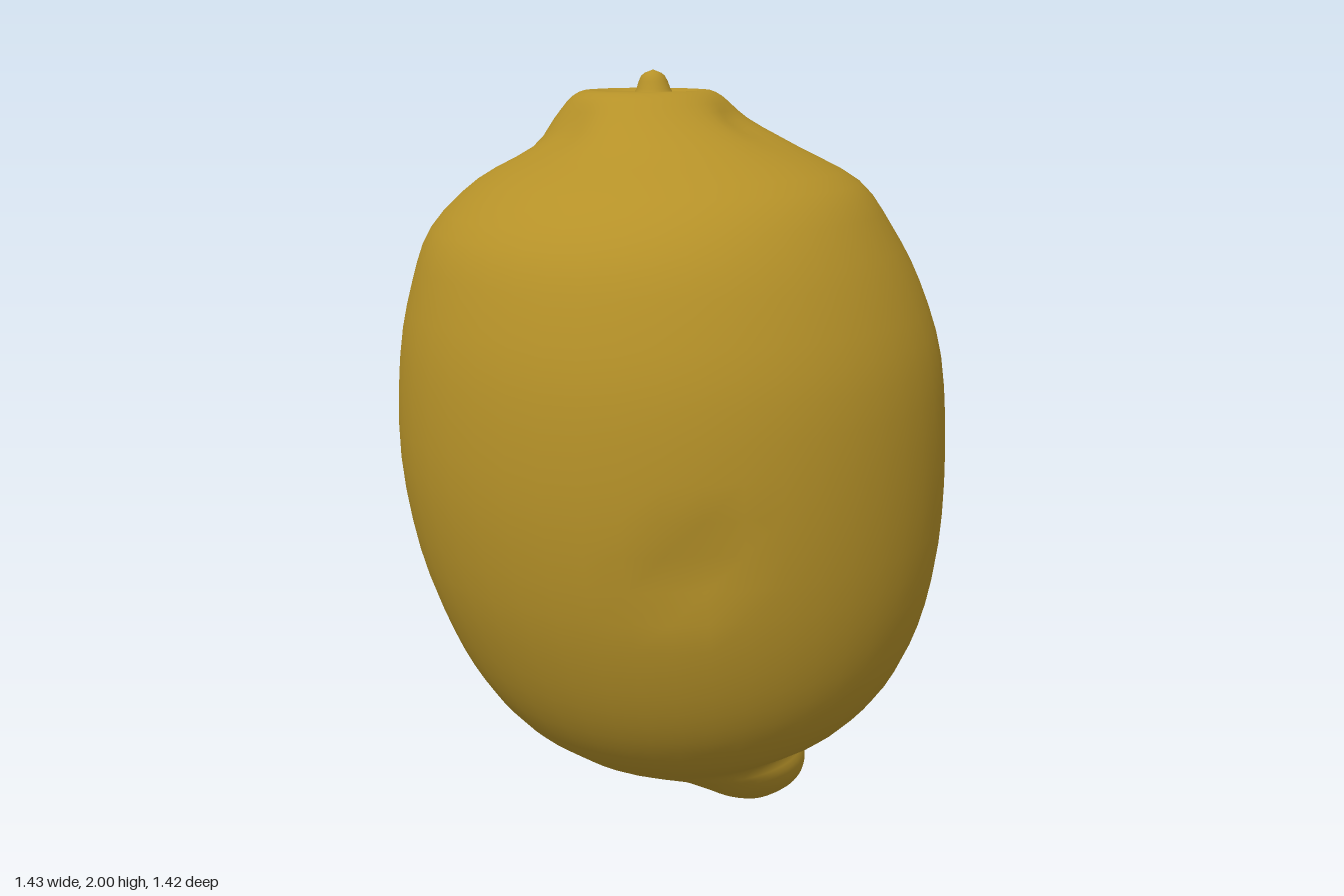
import * as THREE from 'three';

// Cross-sections from the tip up: y, xMin, xMax, zMin, zMax
const SECTIONS = [
  [0.005, 0.18, 0.18, 0.14, 0.14],
  [0.02, 0.13, 0.24, 0.10, 0.18],
  [0.06, 0.05, 0.305, 0.06, 0.235],
  [0.11, -0.03, 0.325, 0.0, 0.28],
  [0.16, -0.13, 0.34, -0.11, 0.305],
  [0.21, -0.28, 0.36, -0.27, 0.32],
  [0.27, -0.37, 0.42, -0.37, 0.41],
  [0.34, -0.455, 0.495, -0.455, 0.505],
  [0.45, -0.54, 0.585, -0.55, 0.595],
  [0.60, -0.615, 0.655, -0.62, 0.66],
  [0.80, -0.68, 0.70, -0.675, 0.70],
  [1.05, -0.715, 0.71, -0.705, 0.71],
  [1.30, -0.705, 0.69, -0.695, 0.69],
  [1.48, -0.665, 0.635, -0.655, 0.635],
  [1.62, -0.605, 0.56, -0.605, 0.565],
  [1.73, -0.48, 0.48, -0.525, 0.47],
  [1.81, -0.33, 0.34, -0.39, 0.31],
  [1.88, -0.26, 0.235, -0.33, 0.17],
  [1.935, -0.205, 0.18, -0.285, 0.09],
  [1.95, -0.15, 0.14, -0.25, 0.04],
  [1.93, -0.085, 0.085, -0.18, 0.0],
  [1.94, -0.05, 0.05, -0.14, -0.035],
  [1.985, -0.03, 0.03, -0.12, -0.06],
  [2.0, 0, 0, -0.09, -0.09],
];

// Small hollows in the peel: x, y, z, radius, depth
const DENTS = [
  [-0.38, 0.93, 0.6, 0.08, 0.03],
  [0.24, 1.87, -0.17, 0.09, 0.035],
  [0.12, 1.86, 0.16, 0.08, 0.035],
  [-0.27, 1.85, -0.08, 0.09, 0.025],
];

const SEGMENTS = 48;
const STEPS = 3;

function lemonGeometry() {
  const spline = (points) => new THREE.CatmullRomCurve3(points, false, 'catmullrom', 0.5);
  const centres = spline(SECTIONS.map(([y, x0, x1, z0, z1]) =>
    new THREE.Vector3((x0 + x1) / 2, y, (z0 + z1) / 2)));
  const radii = spline(SECTIONS.map(([, x0, x1, z0, z1]) =>
    new THREE.Vector3((x1 - x0) / 2, 0, (z1 - z0) / 2)));

  const rows = (SECTIONS.length - 1) * STEPS;
  const positions = [];
  const indices = [];
  const p = new THREE.Vector3();
  const d = new THREE.Vector3();
  for (let i = 0; i <= rows; i++) {
    const c = centres.getPoint(i / rows);
    const r = radii.getPoint(i / rows);
    for (let j = 0; j < SEGMENTS; j++) {
      const a = (j / SEGMENTS) * Math.PI * 2;
      p.set(c.x + Math.max(r.x, 0) * Math.cos(a), Math.max(c.y, 0), c.z + Math.max(r.z, 0) * Math.sin(a));
      // Press the hollows towards the middle axis
      for (const [x, y, z, size, depth] of DENTS) {
        const near = Math.exp(-d.set(x, y, z).distanceToSquared(p) / (size * size));
        d.set(-x, 0, -z).normalize();
        p.addScaledVector(d, depth * near);
      }
      positions.push(p.x, p.y, p.z);
      if (i < rows) {
        const k = (j + 1) % SEGMENTS;
        const A = i * SEGMENTS + j, B = i * SEGMENTS + k;
        const C = A + SEGMENTS, D = B + SEGMENTS;
        if (i < rows - 1) indices.push(C, D, B);
        if (i > 0) indices.push(A, C, B);
        else continue;
        if (i === rows - 1) continue;
      }
    }
  }
  const geometry = new THREE.BufferGeometry();
  geometry.setAttribute('position', new THREE.Float32BufferAttribute(positions, 3));
  geometry.setIndex(indices);
  geometry.computeVertexNormals();
  return geometry;
}

export function createModel() {
  const peel = new THREE.MeshStandardMaterial({ color: 0xb59128 });
  peel.name = 'lemon yellow';

  // One continuous skin: tip, body, collar and stem nub
  const lemon = new THREE.Mesh(lemonGeometry(), peel);
  lemon.name = 'lemon';

  const group = new THREE.Group();
  group.name = 'lemonFruit';
  group.add(lemon);
  return group;
}
